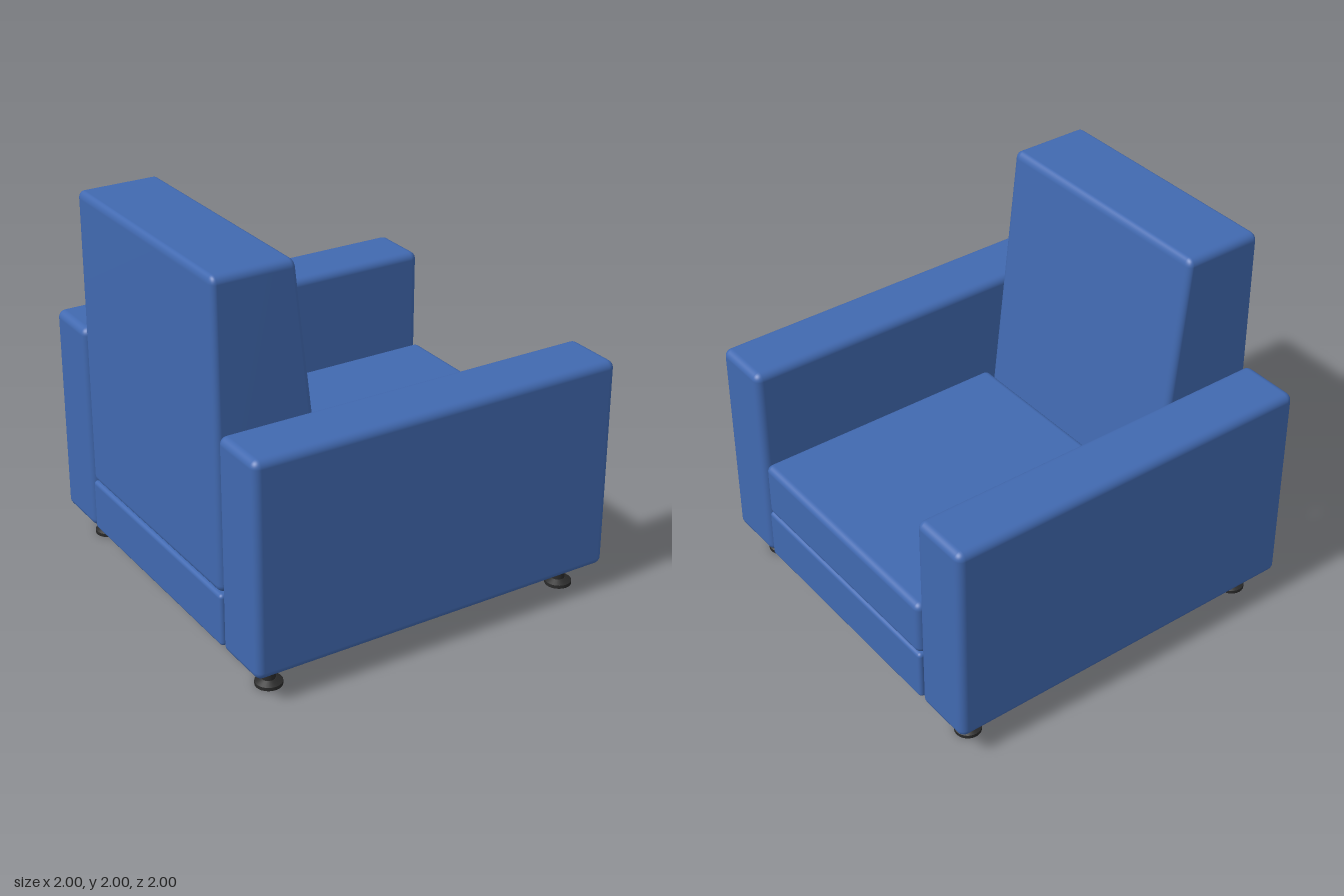
import * as THREE from 'three';
import { RoundedBoxGeometry } from 'three/addons/geometries/RoundedBoxGeometry.js';
import { mergeVertices } from 'three/addons/utils/BufferGeometryUtils.js';

const fabric = new THREE.MeshStandardMaterial({ color: 0x4169b0 });
const darkMetal = new THREE.MeshStandardMaterial({ color: 0x2a2a2a });

// Rounded upholstered block between two corners
function block(name, min, max, radius) {
  const size = max.map((v, i) => v - min[i]);
  const mesh = new THREE.Mesh(new RoundedBoxGeometry(...size, 4, radius), fabric);
  mesh.position.set(...max.map((v, i) => (v + min[i]) / 2));
  mesh.name = name;
  return mesh;
}

// Backrest: upright rear, front face leaning back so it narrows towards the top
function backrest() {
  const bottom = 0.43, top = 2, depthBottom = 0.605, depthTop = 0.425;
  const height = top - bottom;
  const box = new RoundedBoxGeometry(depthBottom, height, 1.33, 4, 0.04);
  box.translate(depthBottom / 2, height / 2, 0);
  box.deleteAttribute('normal');
  box.deleteAttribute('uv');
  const geometry = mergeVertices(box);
  const p = geometry.attributes.position;
  for (let i = 0; i < p.count; i++) {
    const taper = THREE.MathUtils.lerp(1, depthTop / depthBottom, p.getY(i) / height);
    p.setX(i, p.getX(i) * taper);
  }
  geometry.computeVertexNormals();
  const mesh = new THREE.Mesh(geometry, fabric);
  mesh.position.set(-1, bottom, 0);
  mesh.name = 'backrest';
  return mesh;
}

// Foot: round pad, sloped collar and thin stem
function foot(x, z) {
  const group = new THREE.Group();
  group.name = 'foot';
  const parts = [
    ['footPad', 0.068, 0.068, 0, 0.018],
    ['footCollar', 0.036, 0.068, 0.018, 0.034],
    ['footStem', 0.033, 0.033, 0.03, 0.17],
  ];
  for (const [name, rTop, rBottom, y0, y1] of parts) {
    const mesh = new THREE.Mesh(new THREE.CylinderGeometry(rTop, rBottom, y1 - y0, 24), darkMetal);
    mesh.position.y = (y0 + y1) / 2;
    mesh.name = name;
    group.add(mesh);
  }
  group.position.set(x, 0, z);
  return group;
}

export function createModel() {
  const model = new THREE.Group();
  model.name = 'armchair';
  model.add(
    block('base', [-1, 0.15, -0.667], [1, 0.428, 0.667], 0.02),
    block('seatCushion', [-0.395, 0.428, -0.667], [1, 0.73, 0.667], 0.035),
    backrest(),
    block('rightArm', [-1, 0.142, 0.674], [1, 1.26, 1], 0.04),
    block('leftArm', [-1, 0.142, -1], [1, 1.26, -0.674], 0.04),
  );
  for (const x of [-0.85, 0.85]) for (const z of [-0.84, 0.84]) model.add(foot(x, z));
  return model;
}
